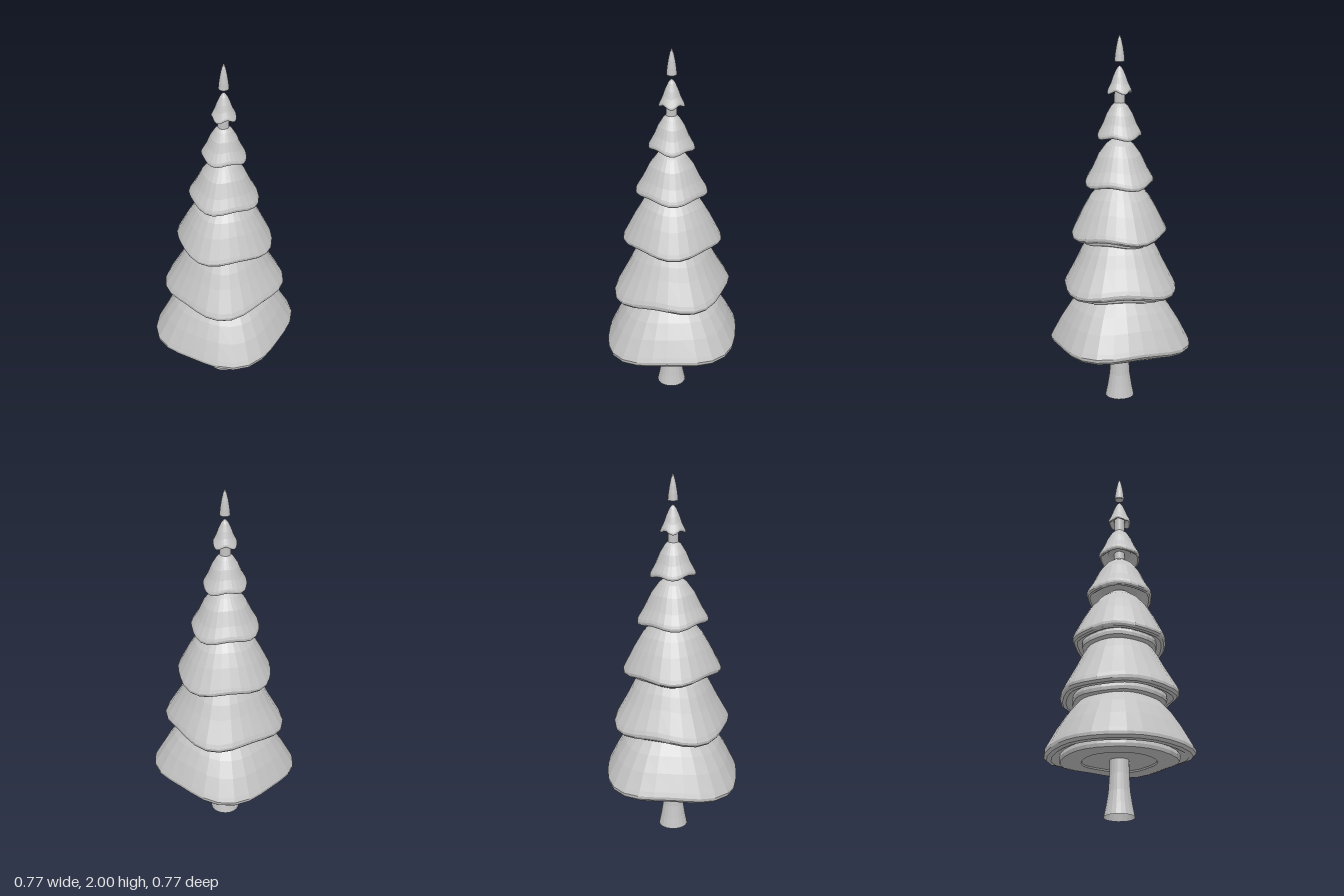
import * as THREE from 'three';

const SIDES = 28;
const deg = Math.PI / 180;

// Lathe a profile of [radius, height] pairs, listed from the underside to the top
function lathe(name, profile, material, sides = SIDES) {
  const points = profile.map(([r, y]) => new THREE.Vector2(r, y));
  const mesh = new THREE.Mesh(new THREE.LatheGeometry(points, sides), material);
  mesh.name = name;
  return mesh;
}

// Four soft corners that bulge out and droop, plus a slight sideways tilt
function warp(geometry, { radius, bulge, peak, droop, tilt }) {
  const p = geometry.attributes.position;
  for (let i = 0; i < p.count; i++) {
    const x = p.getX(i), z = p.getZ(i);
    const wave = Math.cos(4 * (Math.atan2(z, x) - peak * deg));
    const k = Math.min(1, Math.hypot(x, z) / radius);
    const s = 1 + bulge * wave * k;
    p.setXYZ(i, x * s, p.getY(i) - droop * wave * k * k + tilt * x / radius, z * s);
  }
  geometry.computeVertexNormals();
}

// radius, lip: height of the lowest edge, lipSize: thickness of the rolled edge
// slope: upper profile; ring: has a second rolled step underneath
const tiers = [
  { radius: 0.378, lip: 0.31, lipSize: 0.06, bulge: 0.052, peak: 18, droop: 0.008, tilt: 0.018, ring: true,
    slope: [[0.32, 0.46], [0.27, 0.54], [0.22, 0.60], [0.15, 0.67], [0, 0.72]] },
  { radius: 0.315, lip: 0.625, lipSize: 0.055, bulge: 0.05, peak: 34, droop: 0.012, tilt: 0.014, ring: true,
    slope: [[0.245, 0.79], [0.21, 0.86], [0.18, 0.91], [0.12, 0.97], [0, 1.01]] },
  { radius: 0.257, lip: 0.935, lipSize: 0.045, bulge: 0.035, peak: 58, droop: 0.012, tilt: -0.004, ring: true,
    slope: [[0.2, 1.08], [0.16, 1.15], [0.11, 1.21], [0.06, 1.25], [0, 1.265]] },
  { radius: 0.184, lip: 1.215, lipSize: 0.036, bulge: 0.04, peak: 57, droop: 0.01, tilt: -0.005, ring: false,
    slope: [[0.15, 1.3], [0.115, 1.375], [0.075, 1.43], [0.04, 1.457], [0, 1.465]] },
  { radius: 0.117, lip: 1.47, lipSize: 0.026, bulge: 0.04, peak: 60, droop: 0.009, tilt: -0.006, ring: false,
    slope: [[0.09, 1.54], [0.07, 1.59], [0.045, 1.632], [0.025, 1.652], [0, 1.655]] },
  { radius: 0.064, lip: 1.703, lipSize: 0.016, bulge: 0.05, peak: 62, droop: 0.01, tilt: 0, ring: false,
    slope: [[0.047, 1.75], [0.035, 1.785], [0.02, 1.82], [0.008, 1.838], [0, 1.842]] },
];

function tierProfile({ radius: R, lip, lipSize: t, slope, ring }) {
  const under = ring
    ? [[0, lip - 0.012], [R * 0.5, lip - 0.014], [R * 0.51, lip - 0.022], [R * 0.72, lip - 0.026],
       [R * 0.785, lip - 0.02], [R * 0.8, lip - 0.002], [R * 0.79, lip + t * 0.3]]
    : [[0, lip + t * 1.4], [R * 0.55, lip + t * 1.3], [R * 0.72, lip + t * 0.7]];
  const edge = [[R * 0.83, lip + t * 0.2], [R * 0.9, lip], [R * 0.96, lip + t * 0.08],
    [R * 0.995, lip + t * 0.32], [R, lip + t * 0.6], [R * 0.97, lip + t]];
  return [...under, ...edge, ...slope];
}

export function createModel() {
  const group = new THREE.Group();
  group.name = 'coniferTree';
  const grey = new THREE.MeshStandardMaterial({ color: 0xc4c4c4, flatShading: true, side: THREE.DoubleSide });
  grey.name = 'plainGrey';

  // Flared trunk, running up inside the foliage
  const trunk = lathe('trunk', [[0.08, 0], [0.068, 0.06], [0.057, 0.13], [0.051, 0.22], [0.05, 0.35],
    [0.042, 0.9], [0.03, 1.45], [0.028, 1.74]], grey, 20);
  trunk.position.x = -0.006;
  group.add(trunk);

  // Foliage skirts, from the widest to the smallest
  tiers.forEach((tier, i) => {
    const mesh = lathe(`foliageTier${i + 1}`, tierProfile(tier), grey);
    warp(mesh.geometry, tier);
    if (i > 2) mesh.position.x = -0.004;
    group.add(mesh);
  });

  // Separate pointed tip
  const tip = lathe('treeTip', [[0, 1.862], [0.024, 1.862], [0.027, 1.866], [0.024, 1.9],
    [0.018, 1.94], [0.01, 1.978], [0.004, 1.996], [0, 2]], grey, 20);
  tip.position.x = -0.004;
  group.add(tip);

  return group;
}
